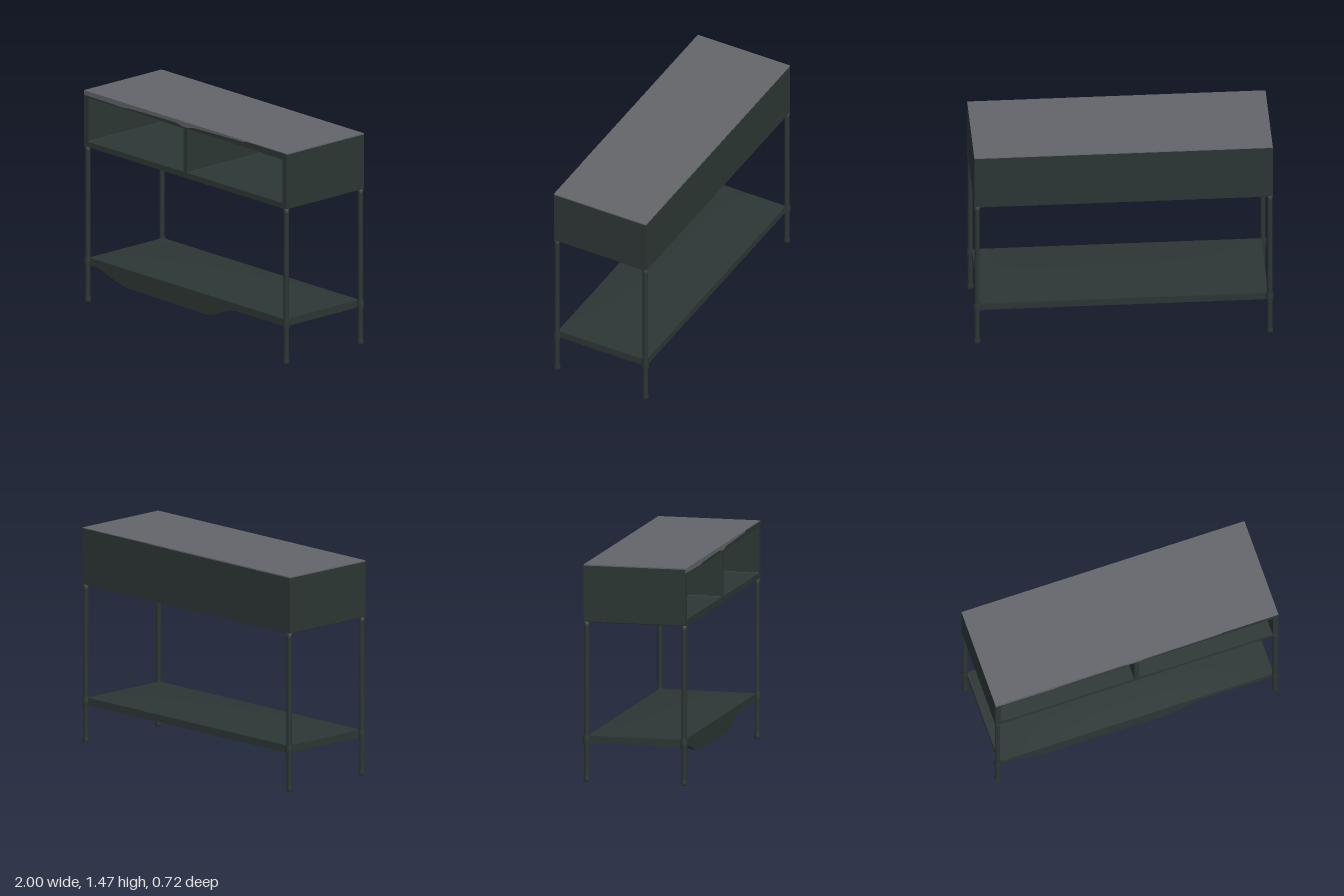
import * as THREE from 'three';

const frameMat = new THREE.MeshStandardMaterial({ name: 'darkGreenMetal', color: 0x2c3634 });
const topMat = new THREE.MeshStandardMaterial({ name: 'greyTop', color: 0x63656a });

function add(parent, name, geometry, material, x = 0, y = 0, z = 0) {
  const mesh = new THREE.Mesh(geometry, material);
  mesh.name = name;
  mesh.position.set(x, y, z);
  parent.add(mesh);
}

// Rectangle path with rounded corners
function roundedRect(path, x0, y0, x1, y1, r) {
  path.moveTo(x0 + r, y0);
  path.lineTo(x1 - r, y0);
  path.quadraticCurveTo(x1, y0, x1, y0 + r);
  path.lineTo(x1, y1 - r);
  path.quadraticCurveTo(x1, y1, x1 - r, y1);
  path.lineTo(x0 + r, y1);
  path.quadraticCurveTo(x0, y1, x0, y1 - r);
  path.lineTo(x0, y0 + r);
  path.quadraticCurveTo(x0, y0, x0 + r, y0);
  return path;
}

// Open-fronted case with two bays
function makeCabinet() {
  const cabinet = new THREE.Group();
  cabinet.name = 'cabinet';
  const outline = roundedRect(new THREE.Shape(), -0.995, 1.078, 0.995, 1.462, 0.006);
  outline.holes.push(
    roundedRect(new THREE.Path(), -0.955, 1.116, -0.018, 1.422, 0.008),
    roundedRect(new THREE.Path(), 0.014, 1.116, 0.955, 1.422, 0.008),
  );
  const shell = new THREE.ExtrudeGeometry(outline, { depth: 0.675, bevelEnabled: false, curveSegments: 4 });
  add(cabinet, 'case', shell, frameMat, 0, 0, -0.325);

  const back = roundedRect(new THREE.Shape(), -0.995, 1.078, 0.995, 1.462, 0.006);
  const backGeometry = new THREE.ExtrudeGeometry(back, { depth: 0.025, bevelEnabled: false, curveSegments: 4 });
  add(cabinet, 'backPanel', backGeometry, frameMat, 0, 0, -0.35);

  add(cabinet, 'topPanel', new THREE.BoxGeometry(1.99, 0.008, 0.7), topMat, 0, 1.463, 0);

  // Uneven grey edge along the top of the front
  const edge = new THREE.Shape();
  [[-0.995, 1.436], [-0.6, 1.43], [-0.55, 1.438], [-0.1, 1.444], [-0.03, 1.43], [0.02, 1.43],
    [0.08, 1.444], [0.58, 1.455], [0.6, 1.466], [-0.995, 1.466]]
    .forEach(([x, y], i) => (i ? edge.lineTo(x, y) : edge.moveTo(x, y)));
  const edgeGeometry = new THREE.ExtrudeGeometry(edge, { depth: 0.003, bevelEnabled: false });
  add(cabinet, 'frontTopEdge', edgeGeometry, topMat, 0, 0, 0.349);
  return cabinet;
}

// Shelf with a crowned top and an underside that sags towards the front
function makeShelf() {
  const geometry = new THREE.BoxGeometry(1.93, 0.05, 0.67, 64, 1, 16);
  const p = geometry.attributes.position;
  const { smoothstep, mapLinear } = THREE.MathUtils;
  for (let i = 0; i < p.count; i++) {
    const x = p.getX(i), y = p.getY(i), z = p.getZ(i);
    if (y > 0) {
      p.setY(i, y + 0.009 * (1 - (x / 0.965) ** 2) * (1 - (z / 0.335) ** 2));
    } else {
      const along = smoothstep(x, -0.93, -0.58) * (1 - smoothstep(x, 0.18, 0.48));
      const depth = mapLinear(x, -0.6, 0.2, 0.078, 0.09);
      const across = Math.max(0, (z + 0.335) / 0.67) ** 1.2;
      p.setY(i, y - along * depth * across);
    }
  }
  geometry.computeVertexNormals();
  return geometry;
}

// Slim round leg with a flared foot and soft joints at shelf and case
function makeLeg() {
  const profile = [
    [0, 0], [0.017, 0], [0.022, 0.006], [0.022, 0.025], [0.0175, 0.045], [0.0175, 0.235],
    [0.024, 0.26], [0.024, 0.3], [0.0175, 0.325], [0.0175, 1.05], [0.022, 1.08], [0, 1.085],
  ].map(([r, y]) => new THREE.Vector2(r, y));
  return new THREE.LatheGeometry(profile, 16);
}

export function createModel() {
  const model = new THREE.Group();
  model.name = 'consoleTable';
  model.add(makeCabinet());
  add(model, 'lowerShelf', makeShelf(), frameMat, 0, 0.281, 0);

  const leg = makeLeg();
  for (const sx of [-1, 1]) {
    for (const sz of [-1, 1]) {
      const name = (sz > 0 ? 'front' : 'back') + (sx > 0 ? 'Left' : 'Right') + 'Leg';
      add(model, name, leg, frameMat, sx * 0.976, 0, sz * 0.335);
    }
  }
  return model;
}
